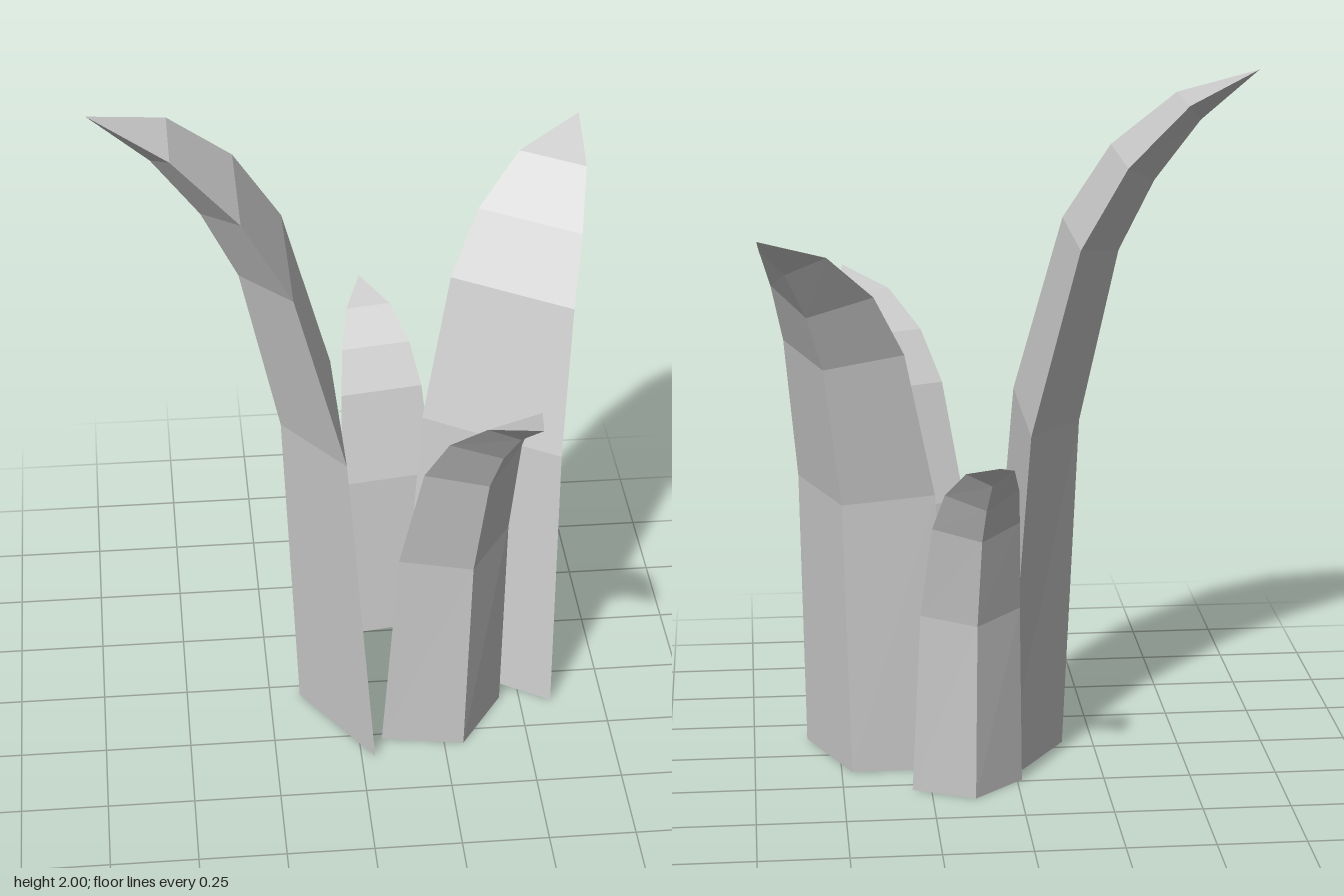
import * as THREE from 'three';

// Cross-sections: [inner height, inner outward offset, half width, ridge height, ridge outward offset]
const SECTIONS = [
  [0, 0, 0.305, 0, 0.2],
  [1.02, 0.08, 0.272, 0.99, 0.245],
  [1.54, 0.22, 0.236, 1.49, 0.355],
  [1.76, 0.355, 0.198, 1.69, 0.455],
  [1.92, 0.535, 0.128, 1.86, 0.585],
];
const TIP = [0, 2.0, 0.75];

// Three-sided blade: flat inner face, ridged outer face, closed base, bending towards +z
function bladeGeometry() {
  const rings = SECTIONS.map(([y, z, w, ry, rz]) => [[-w, y, z], [0, ry, rz], [w, y, z]]);
  const pos = [];
  const tri = (a, b, c) => pos.push(...a, ...b, ...c);
  tri(rings[0][0], rings[0][2], rings[0][1]);
  rings.forEach((ring, i) => {
    const next = rings[i + 1];
    for (let j = 0; j < 3; j++) {
      const k = (j + 1) % 3;
      if (next) {
        tri(ring[j], ring[k], next[k]);
        tri(ring[j], next[k], next[j]);
      } else {
        tri(ring[j], ring[k], TIP);
      }
    }
  });
  const geometry = new THREE.BufferGeometry();
  geometry.setAttribute('position', new THREE.Float32BufferAttribute(pos, 3));
  geometry.computeVertexNormals();
  return geometry;
}

export function createModel() {
  const plant = new THREE.Group();
  plant.name = 'plant';
  const grey = new THREE.MeshStandardMaterial({ color: 0xcccccc, flatShading: true });
  grey.name = 'light grey';
  const geometry = bladeGeometry();

  // Same blade at four sizes: name, base x, base z, size, outward direction x and z
  const blades = [
    ['tallBlade', 0.04, 0.043, 1, -1, 0],
    ['backLeftBlade', 0.381, 0, 0.825, 0.537, -0.845],
    ['frontBlade', 0.254, 0.19, 0.666, 0.395, 0.918],
    ['shortBackBlade', 0.145, -0.264, 0.527, -0.155, -0.988],
  ];
  for (const [name, x, z, size, dx, dz] of blades) {
    const blade = new THREE.Mesh(geometry, grey);
    blade.name = name;
    blade.position.set(x, 0, z);
    blade.scale.setScalar(size);
    blade.rotation.y = Math.atan2(dx, dz);
    plant.add(blade);
  }
  return plant;
}
